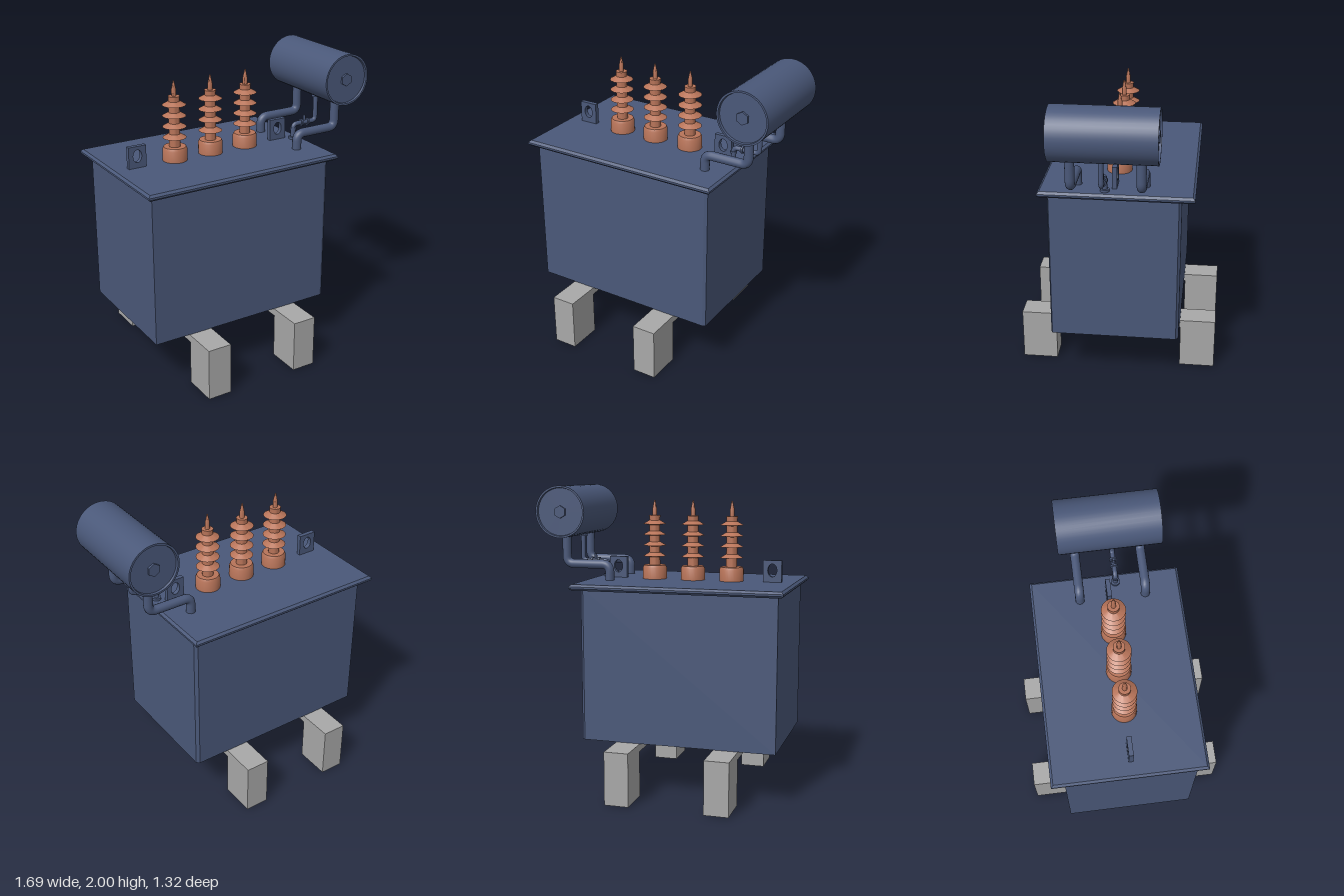
import * as THREE from 'three';
import { toCreasedNormals } from 'three/addons/utils/BufferGeometryUtils.js';

const mat = (name, color) => {
  const m = new THREE.MeshStandardMaterial({ color });
  m.name = name;
  return m;
};

export function createModel() {
  const root = new THREE.Group();
  root.name = 'transformer';
  const blue = mat('slate blue paint', 0x4a5879);
  const copper = mat('copper ceramic', 0xb87459);
  const grey = mat('concrete grey', 0xa8a8a8);

  const add = (name, geo, material, x = 0, y = 0, z = 0, parent = root) => {
    const mesh = new THREE.Mesh(geo, material);
    mesh.name = name;
    mesh.position.set(x, y, z);
    parent.add(mesh);
    return mesh;
  };
  const points = (list) => list.map(([x, y]) => new THREE.Vector2(x, y));
  const lathe = (list, sides) => toCreasedNormals(new THREE.LatheGeometry(points(list), sides), 0.6);
  const cyl = (r, h, sides = 20) => new THREE.CylinderGeometry(r, r, h, sides);

  // Tank, with its two right-hand corners chamfered
  const tankShape = new THREE.Shape(points([
    [-0.80, -0.42], [0.47, -0.42], [0.49, -0.41], [0.49, 0.405], [0.47, 0.422], [-0.80, 0.422],
  ]));
  const tankGeo = new THREE.ExtrudeGeometry(tankShape, { depth: 1.0, bevelEnabled: false });
  tankGeo.rotateX(-Math.PI / 2);
  add('tank', tankGeo, blue, 0, 0.35, 0);

  // Lid with a bevelled rim
  const lidShape = new THREE.Shape(points([
    [-0.83, -0.46], [0.52, -0.46], [0.52, 0.49], [-0.83, 0.49],
  ]));
  const lidGeo = new THREE.ExtrudeGeometry(lidShape, {
    depth: 0.012, bevelThickness: 0.014, bevelSize: 0.015, bevelSegments: 1,
  });
  lidGeo.rotateX(-Math.PI / 2);
  add('lid', lidGeo, blue, 0, 1.357, 0);

  // Two support frames, each with a bar under the tank and a foot at both ends
  for (const x of [-0.48, 0.17]) {
    const frame = new THREE.Group();
    frame.name = 'supportFrame';
    root.add(frame);
    add('crossBar', new THREE.BoxGeometry(0.16, 0.05, 0.86), grey, x, 0.325, 0, frame);
    for (const s of [-1, 1]) {
      add('foot', new THREE.BoxGeometry(0.16, 0.35, 0.235), grey, x, 0.175, s * 0.5425, frame);
    }
  }

  // Insulated bushings: socket, ribbed column and pointed terminal
  const profile = [[0, 0], [0.08, 0], [0.08, 0.075], [0.072, 0.092], [0.036, 0.092]];
  for (let i = 0; i < 4; i++) {
    const y = 0.152 + i * 0.071;
    profile.push([0.036, y - 0.006], [0.076, y], [0.036, y + 0.024]);
  }
  profile.push([0.037, 0.422], [0.015, 0.422], [0.015, 0.465], [0.004, 0.52], [0, 0.52]);
  const bushingGeo = lathe(profile, 28);
  for (const x of [-0.41, -0.147, 0.117]) add('bushing', bushingGeo, copper, x, 1.382, 0);

  // Lifting lugs with an oval eye
  const lugShape = new THREE.Shape(points([
    [-0.061, 0], [0.061, 0], [0.061, 0.145], [-0.061, 0.145],
  ]));
  const eye = new THREE.Path();
  eye.absellipse(0, 0.08, 0.03, 0.042, 0, Math.PI * 2, true);
  lugShape.holes.push(eye);
  const lugGeo = new THREE.ExtrudeGeometry(lugShape, { depth: 0.03, bevelEnabled: false, curveSegments: 16 });
  lugGeo.translate(0, 0, -0.015);
  for (const x of [-0.683, 0.371]) add('liftingLug', lugGeo, blue, x, 1.38, 0);

  // Oil conservator drum with recessed ends and end bosses
  const drum = new THREE.Group();
  drum.name = 'conservator';
  drum.position.set(0.675, 1.83, 0.03);
  root.add(drum);
  const drumGeo = lathe([
    [0, -0.31], [0.155, -0.31], [0.158, -0.325], [0.17, -0.325],
    [0.17, 0.325], [0.158, 0.325], [0.155, 0.31], [0, 0.31],
  ], 40);
  drumGeo.rotateX(Math.PI / 2);
  add('drum', drumGeo, blue, 0, 0, 0, drum);
  for (const s of [-1, 1]) {
    const boss = cyl(0.042, 0.024, 6).toNonIndexed();
    boss.computeVertexNormals();
    boss.rotateX(Math.PI / 2);
    add('endBoss', boss, blue, 0, 0, s * 0.312, drum);
  }

  // Pipe with two rounded elbows, from the lid up to the drum
  const pipe = (name, x0, x1, yMid, z, radius, bend) => {
    const v = (x, y) => new THREE.Vector3(x, y, z);
    const path = new THREE.CurvePath();
    path.add(new THREE.LineCurve3(v(x0, 1.375), v(x0, yMid - bend)));
    path.add(new THREE.QuadraticBezierCurve3(v(x0, yMid - bend), v(x0, yMid), v(x0 + bend, yMid)));
    path.add(new THREE.LineCurve3(v(x0 + bend, yMid), v(x1 - bend, yMid)));
    path.add(new THREE.QuadraticBezierCurve3(v(x1 - bend, yMid), v(x1, yMid), v(x1, yMid + bend)));
    path.add(new THREE.LineCurve3(v(x1, yMid + bend), v(x1, 1.70)));
    add(name, new THREE.TubeGeometry(path, 64, radius, 14), blue);
  };
  for (const z of [0.24, -0.188]) pipe('supportPipe', 0.37, 0.67, 1.486, z, 0.03, 0.05);

  // Thin oil line with flanges and a valve
  pipe('oilLine', 0.47, 0.65, 1.485, 0.056, 0.016, 0.03);
  add('lidFlange', cyl(0.029, 0.018), blue, 0.47, 1.39, 0.056);
  add('lineFlange', cyl(0.022, 0.014), blue, 0.47, 1.455, 0.056);
  add('drumFlange', cyl(0.028, 0.02), blue, 0.65, 1.662, 0.056);
  for (const x of [0.535, 0.585]) {
    add('valveFlange', cyl(0.025, 0.012), blue, x, 1.485, 0.056).rotation.z = Math.PI / 2;
  }
  add('valveStem', cyl(0.009, 0.05, 10), blue, 0.56, 1.51, 0.056);

  return root;
}
